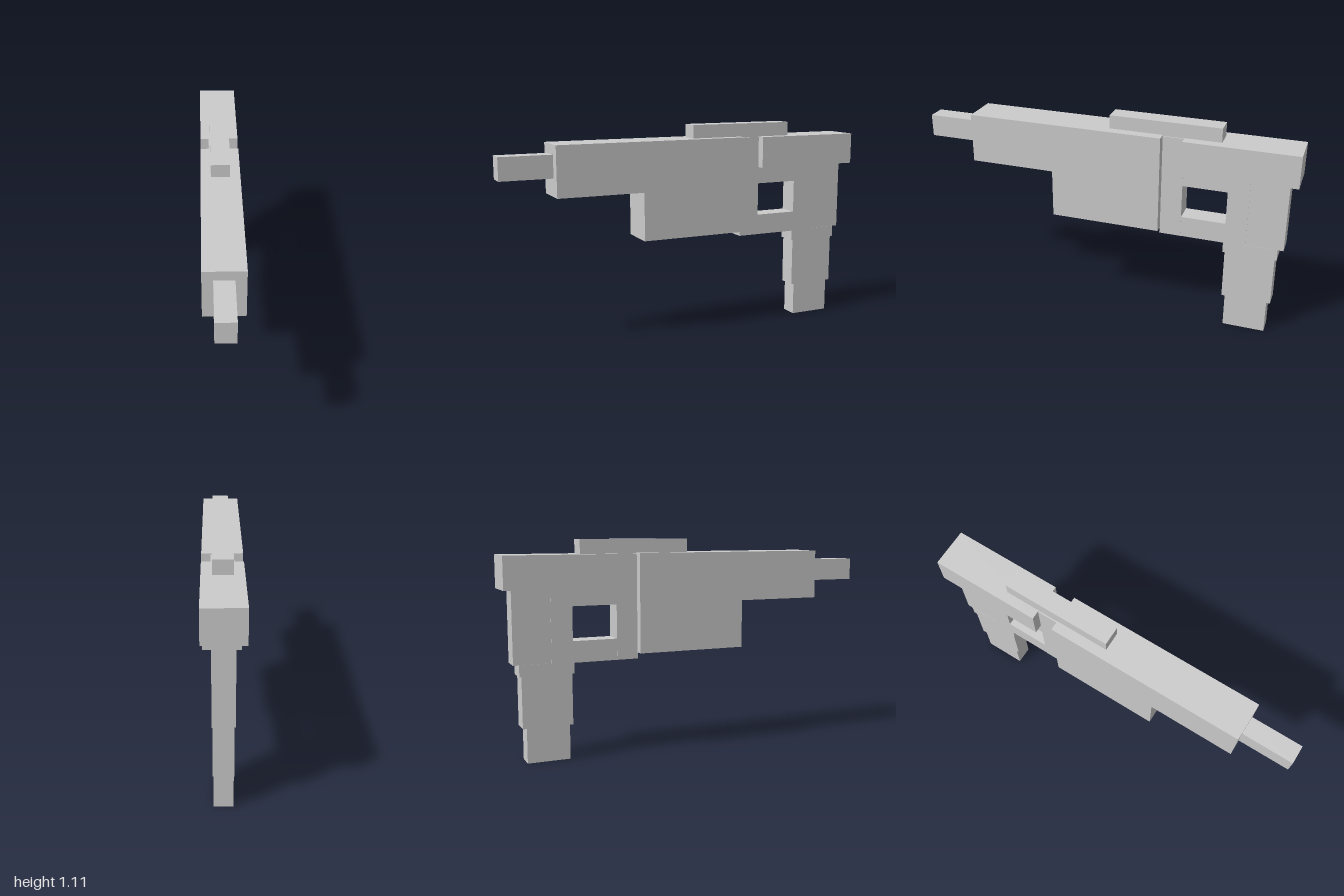
import * as THREE from 'three';

export function createModel() {
  const model = new THREE.Group();
  const material = new THREE.MeshStandardMaterial({ color: 0xcccccc, flatShading: true });

  // Box from its extents along x, y and z
  function block(name, [x0, x1], [y0, y1], [z0, z1]) {
    const mesh = new THREE.Mesh(new THREE.BoxGeometry(x1 - x0, y1 - y0, z1 - z0), material);
    mesh.position.set((x0 + x1) / 2, (y0 + y1) / 2, (z0 + z1) / 2);
    mesh.name = name;
    model.add(mesh);
  }

  // Stepped side profile of the body, extruded across the width
  const profile = new THREE.Shape([
    [-0.31, 0.527], [0.273, 0.527], [0.273, 0.78], [0.73, 0.78], [0.73, 1.04], [-0.31, 1.04],
  ].map(([z, y]) => new THREE.Vector2(z, y)));
  const bodyGeometry = new THREE.ExtrudeGeometry(profile, { depth: 0.202, bevelEnabled: false });
  bodyGeometry.rotateY(-Math.PI / 2).translate(0.1, 0, 0);
  const body = new THREE.Mesh(bodyGeometry, material);
  body.name = 'body';
  model.add(body);

  // Barrel and top rail
  block('barrel', [-0.05, 0.047], [0.873, 0.99], [0.73, 1]);
  block('topRail', [-0.05, 0.047], [1.035, 1.11], [-0.607, -0.028]);

  // Rear housing and the slim column joining it to the body
  block('rearHousing', [-0.102, 0.1], [0.87, 1.037], [-1, -0.42]);
  block('column', [-0.057, 0.054], [0.495, 1.035], [-0.421, -0.308]);

  // Trigger guard bars around the opening
  block('guardTop', [-0.056, 0.053], [0.78, 0.875], [-0.66, -0.42]);
  block('guardBottom', [-0.056, 0.053], [0.495, 0.605], [-0.66, -0.42]);

  // Grip, stepping inwards towards the foot
  block('gripFront', [-0.056, 0.053], [0.495, 0.875], [-0.763, -0.653]);
  block('gripBack', [-0.054, 0.051], [0.5, 0.875], [-0.955, -0.763]);
  block('gripCollar', [-0.055, 0.052], [0.44, 0.5], [-0.926, -0.647]);
  block('gripLower', [-0.05, 0.048], [0.178, 0.44], [-0.915, -0.658]);
  block('gripFoot', [-0.048, 0.045], [0, 0.178], [-0.895, -0.675]);

  return model;
}
